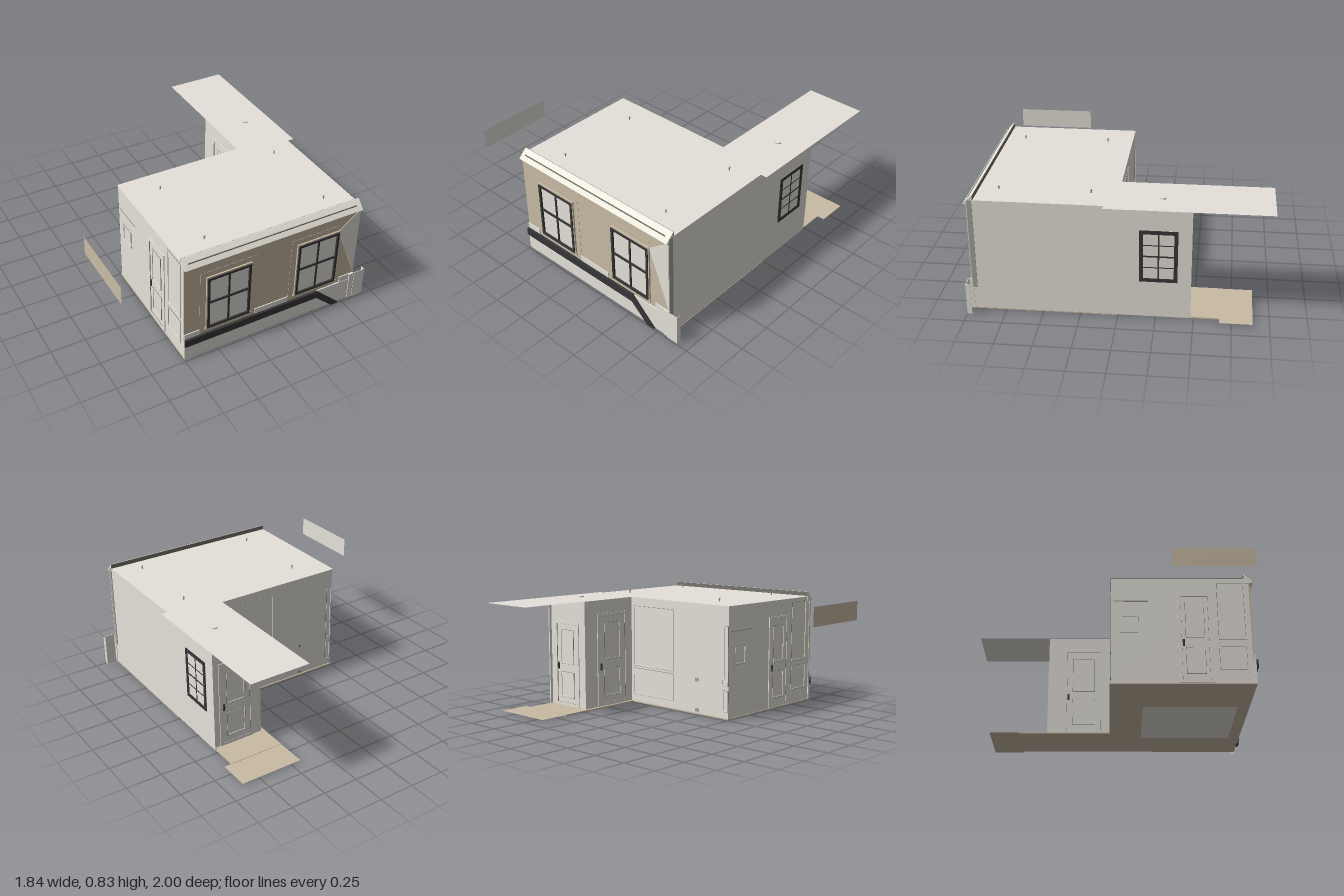
import * as THREE from 'three';

const mat = (name, color, side = THREE.FrontSide) => {
  const m = new THREE.MeshStandardMaterial({ color, side });
  m.name = name;
  return m;
};

export function createModel() {
  const plaster = mat('warm grey plaster', 0xe6e2da);
  const sheet = mat('ceiling plaster', 0xe6e2da, THREE.DoubleSide);
  const tan = mat('tan', 0xcabca5);
  const tanSheet = mat('floor tan', 0xcabca5, THREE.DoubleSide);
  const dark = mat('charcoal', 0x363638);
  const cream = mat('cream', 0xeeebde);
  const grey = mat('mid grey', 0xa6a39b);
  const line = mat('trim grey', 0x77756f);

  const model = new THREE.Group();
  model.name = 'roomWithCorridor';

  const add = (name, geo, material, parent = model) => {
    const m = new THREE.Mesh(geo, material);
    m.name = name;
    parent.add(m);
    return m;
  };
  // Box given by its limits on each axis
  const box = (name, material, x0, x1, y0, y1, z0, z1, parent) => {
    const g = new THREE.BoxGeometry(x1 - x0, y1 - y0, z1 - z0);
    g.translate((x0 + x1) / 2, (y0 + y1) / 2, (z0 + z1) / 2);
    return add(name, g, material, parent);
  };
  // Level sheet without thickness
  const level = (name, material, x0, x1, y, z0, z1) =>
    add(name, new THREE.PlaneGeometry(x1 - x0, z1 - z0).rotateX(-Math.PI / 2)
      .translate((x0 + x1) / 2, y, (z0 + z1) / 2), material);
  // Flat outline in x, y pushed forward from z0
  const plate = (name, material, pts, z0, depth) => {
    const s = new THREE.Shape(pts.map(p => new THREE.Vector2(...p)));
    const g = new THREE.ExtrudeGeometry(s, { depth, bevelEnabled: false });
    g.translate(0, 0, z0);
    return add(name, g, material);
  };
  // Rectangular ring facing +z, centred on the origin
  const ring = (name, material, w, h, t, depth, parent) => {
    const rect = (P, a, b) => {
      const p = new P();
      p.moveTo(-a, -b); p.lineTo(a, -b); p.lineTo(a, b); p.lineTo(-a, b); p.closePath();
      return p;
    };
    const s = rect(THREE.Shape, w / 2, h / 2);
    s.holes.push(rect(THREE.Path, w / 2 - t, h / 2 - t));
    return add(name, new THREE.ExtrudeGeometry(s, { depth, bevelEnabled: false }), material, parent);
  };
  const group = (name, x, y, z, turn = 0) => {
    const g = new THREE.Group();
    g.name = name;
    g.position.set(x, y, z);
    g.rotation.y = turn;
    model.add(g);
    return g;
  };

  // Walls of the room and corridor
  box('roomWalls', plaster, -0.494, 0.832, 0.008, 0.8, 0.014, 0.965);
  box('corridorWalls', plaster, 0.455, 0.832, 0.008, 0.8, -0.46, 0.02);
  box('corridorSideWall', plaster, 0.822, 0.832, 0.008, 0.8, -0.48, -0.44);

  // Floor and rug
  box('roomFloor', tan, -0.5, 0.834, 0.002, 0.01, 0.005, 0.98);
  box('corridorFloor', tan, 0.43, 0.825, 0.002, 0.012, -0.67, 0.005);
  level('corridorFloorEnd', tanSheet, 0.43, 0.88, 0.01, -0.89, -0.67);
  level('rug', sheet, -0.1, 0.52, 0, 0.24, 0.9);

  // Ceilings
  level('roomCeiling', sheet, -0.5, 0.833, 0.804, 0.01, 0.94);
  level('corridorCeiling', sheet, 0.45, 0.88, 0.803, -1, 0.09);

  // Ceiling hooks and lamp mount
  for (const x of [-0.26, 0.65]) for (const z of [0.19, 0.8]) {
    const g = group('ceilingHook', x, 0.804, z);
    add('hookStem', new THREE.CylinderGeometry(0.004, 0.004, 0.018, 8).translate(0, 0.009, 0), grey, g);
    add('hookCap', new THREE.SphereGeometry(0.007, 8, 6).translate(0, 0.02, 0), grey, g);
  }
  add('lampMount', new THREE.CylinderGeometry(0.022, 0.022, 0.01, 16).translate(0.69, 0.81, -0.28), plaster);

  // Street front: painted wall, plain corner piece, plinth and band
  box('frontWall', tan, -0.5, 0.834, 0.17, 0.775, 0.965, 0.975);
  plate('frontCornerPiece', plaster, [[0.67, 0.645], [0.834, 0.22], [0.834, 0.77]], 0.975, 0.004);
  box('plinth', plaster, -0.5, 0.835, 0.005, 0.175, 0.965, 0.985);
  for (const [a, b] of [[-0.5, -0.385], [0.035, 0.295], [0.72, 0.835]])
    box('plinthPanel', plaster, a, b, 0.17, 0.22, 0.965, 0.982);
  plate('plinthBand', dark,
    [[-0.5, 0.125], [0.525, 0.125], [0.66, 0.003], [0.72, 0.003], [0.53, 0.18], [-0.5, 0.18]], 0.98, 0.019);
  box('cornerPost', plaster, 0.8, 0.836, 0.005, 0.22, 0.965, 0.99);
  box('cornerPlate', plaster, 0.834, 0.92, 0.008, 0.23, 0.995, 0.999);
  box('cornerPlateSide', plaster, 0.917, 0.92, 0.008, 0.23, 0.966, 0.995);
  box('cornerStrip', grey, 0.832, 0.836, 0.165, 0.8, 0.94, 0.972);

  // Cornice: sloped profile run along the front, dark at the back
  const profile = new THREE.Shape(
    [[0.94, 0.765], [0.985, 0.765], [0.998, 0.775], [0.972, 0.804], [0.939, 0.835], [0.935, 0.835], [0.935, 0.765]]
      .map(p => new THREE.Vector2(...p)));
  add('cornice', new THREE.ExtrudeGeometry(profile, { depth: 1.335, bevelEnabled: false })
    .rotateY(-Math.PI / 2).translate(0.835, 0, 0), cream);
  box('corniceBack', line, -0.5, 0.835, 0.804, 0.834, 0.932, 0.935);
  box('corniceGroove', line, -0.47, 0.8, 0.802, 0.808, 0.96, 0.974);
  box('corniceUnderline', line, -0.5, 0.835, 0.765, 0.769, 0.97, 0.987);

  // Window facing +z, bars given as [offset from centre, half width]
  const windowUnit = (name, parentGroup, w, h, t, depth, vBars, hBars) => {
    box('glass', plaster, -w / 2, w / 2, -h / 2, h / 2, 0, 0.005, parentGroup);
    ring(name + 'Frame', dark, w, h, t, depth, parentGroup);
    for (const [x, b] of vBars) box('uprightBar', dark, x - b, x + b, -h / 2 + t, h / 2 - t, 0, depth * 0.7, parentGroup);
    for (const [y, b] of hBars) box('crossBar', dark, -w / 2 + t, w / 2 - t, y - b, y + b, 0, depth * 0.8, parentGroup);
  };
  for (const x of [-0.175, 0.508]) {
    const g = group('frontWindow', x, 0.43, 0.976);
    box('wallPanel', tan, -0.21, x < 0 ? 0.21 : 0.16, -0.255, 0.26, -0.003, 0.001, g);
    ring('windowSurround', tan, 0.335, 0.44, 0.012, 0.012, g);
    box('windowSill', tan, -0.175, 0.175, -0.22, -0.208, 0, 0.014, g);
    windowUnit('frontWindow', g, 0.32, 0.42, 0.016, 0.018, [[0, 0.006]], [[0.005, 0.007]]);
  }
  windowUnit('sideWindow', group('sideWindow', 0.829, 0.455, -0.265, Math.PI / 2),
    0.25, 0.37, 0.025, 0.009, [[0, 0.005]], [[0, 0.005], [0.08, 0.003], [-0.08, 0.003]]);

  // Doors and wall panels: thin mouldings facing outwards
  const panel = (parent, x, y, w, h) => {
    const m = ring('panelMoulding', plaster, w, h, 0.009, 0.005, parent);
    m.position.set(x, y, 0);
    ring('panelGroove', line, w + 0.004, h + 0.004, 0.003, 0.003, parent).position.set(x, y, 0);
  };
  const door = (name, x, z, turn, w, h, handleSide) => {
    const g = group(name, x, 0.012, z, turn);
    const frame = ring('doorFrame', plaster, w, h, 0.022, 0.006, g);
    frame.position.y = h / 2;
    ring('doorGap', line, w - 0.04, h - 0.04, 0.003, 0.003, g).position.y = h / 2;
    panel(g, 0, h * 0.7, w * 0.55, h * 0.4);
    panel(g, 0, h * 0.25, w * 0.55, h * 0.3);
    const hx = handleSide * (w / 2 - 0.035);
    box('doorHandlePlate', dark, hx - 0.007, hx + 0.007, 0.27, 0.32, 0, 0.006, g);
    box('doorHandle', dark, hx - 0.006, hx + 0.006, 0.29, 0.306, 0, 0.01, g);
  };
  const left = -Math.PI / 2;
  door('corridorSideDoor', 0.455, -0.19, left, 0.3, 0.69, -1);
  door('corridorEndDoor', 0.65, -0.46, Math.PI, 0.26, 0.63, -1);
  door('roomDoor', -0.494, 0.585, left, 0.23, 0.67, -1);

  // Panels on the back wall
  const back = group('backWallPanels', 0, 0, 0.014, Math.PI);
  panel(back, -0.23, 0.51, 0.41, 0.45);
  panel(back, -0.23, 0.165, 0.41, 0.2);
  panel(back, 0.47, 0.45, 0.045, 0.42);
  panel(back, 0.47, 0.13, 0.045, 0.15);
  for (const y of [0.25, 0.03]) box('wallSocket', grey, 0.19, 0.22, y - 0.01, y + 0.015, 0, 0.006, back);

  // Panels on the left wall
  const sideWall = group('leftWallPanels', -0.494, 0, 0, left);
  panel(sideWall, 0.835, 0.55, 0.18, 0.44);
  panel(sideWall, 0.835, 0.2, 0.18, 0.18);
  panel(sideWall, 0.14, 0.45, 0.12, 0.13);
  box('wallRail', grey, 0.03, 0.27, 0.62, 0.626, 0, 0.005, sideWall);

  // Free-standing card, grey towards the room and tan outside
  for (const [name, material, side] of [['cardInside', plaster, 1], ['cardOutside', tan, -1]])
    add(name, new THREE.PlaneGeometry(0.55, 0.14).rotateY(side * Math.PI / 2)
      .translate(-0.92, 0.725, 0.685), material);

  return model;
}
